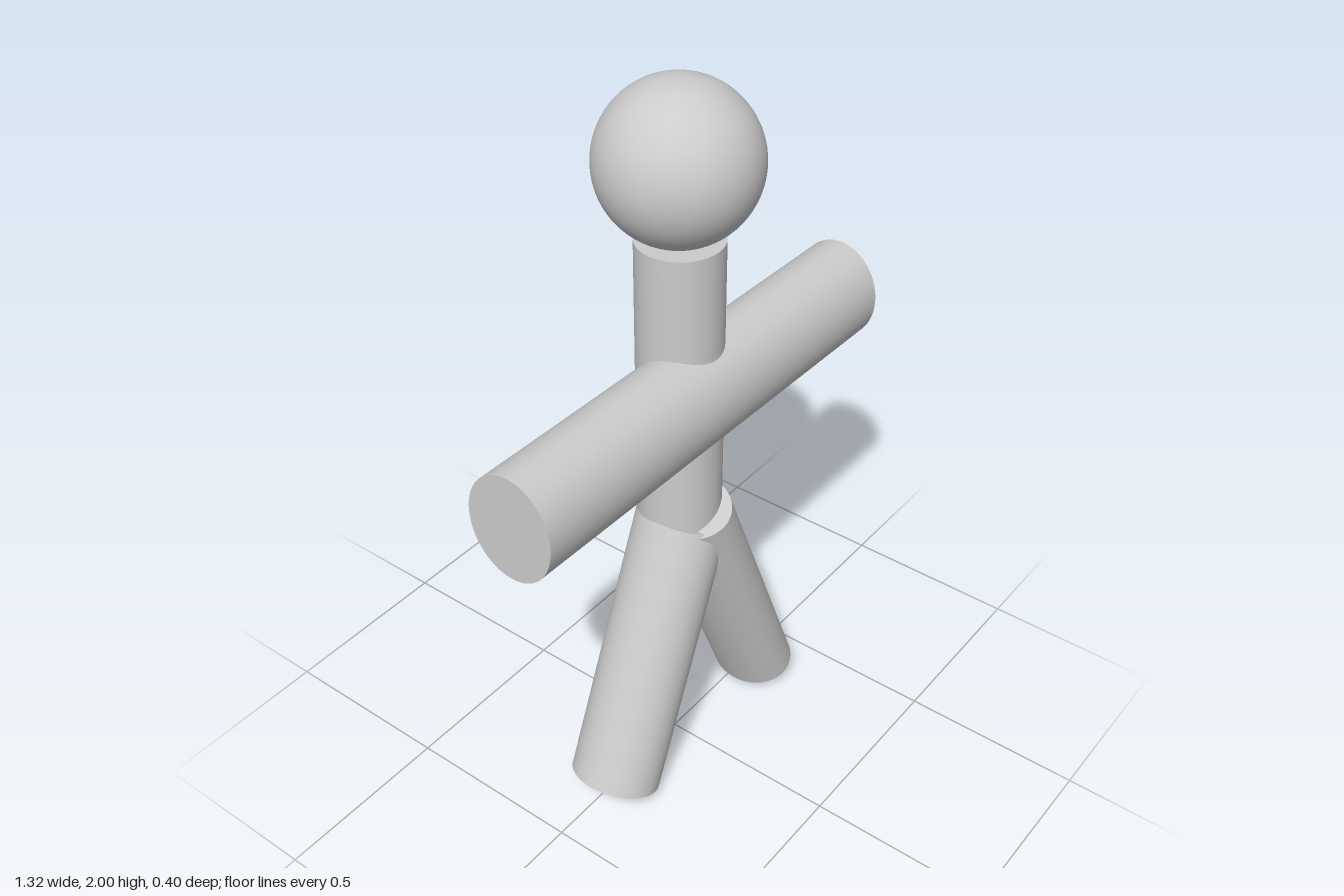
import * as THREE from 'three';

const material = new THREE.MeshStandardMaterial({ color: 0xcccccc });

// Elliptical cylinder between two points in a plane of constant z
function limb(name, [x0, y0], [x1, y1], z, radius, radiusZ) {
  const start = new THREE.Vector3(x0, y0, z);
  const end = new THREE.Vector3(x1, y1, z);
  const axis = end.clone().sub(start);
  const geometry = new THREE.CylinderGeometry(1, 1, axis.length(), 64);
  geometry.scale(radius, 1, radiusZ);
  const mesh = new THREE.Mesh(geometry, material);
  mesh.name = name;
  mesh.position.copy(start).add(end).multiplyScalar(0.5);
  mesh.rotation.z = Math.atan2(-axis.x, axis.y);
  return mesh;
}

export function createModel() {
  const group = new THREE.Group();
  group.name = 'stickFigure';

  // Head
  const head = new THREE.Mesh(new THREE.SphereGeometry(0.2, 64, 40), material);
  head.name = 'head';
  head.position.set(0.014, 1.8, 0);
  group.add(head);

  // Torso, and one bar for both arms
  group.add(limb('torso', [0.02, 0.635], [0.02, 1.6], 0, 0.11, 0.11));
  group.add(limb('arms', [-0.658, 1.195], [0.655, 1.174], 0.048, 0.141, 0.12));

  // Legs, the right one thicker
  group.add(limb('rightLeg', [-0.28, 0.05], [0.02, 0.777], 0.01, 0.119, 0.124));
  group.add(limb('leftLeg', [0.34, 0.053], [0.02, 0.819], 0.03, 0.098, 0.122));

  return group;
}
